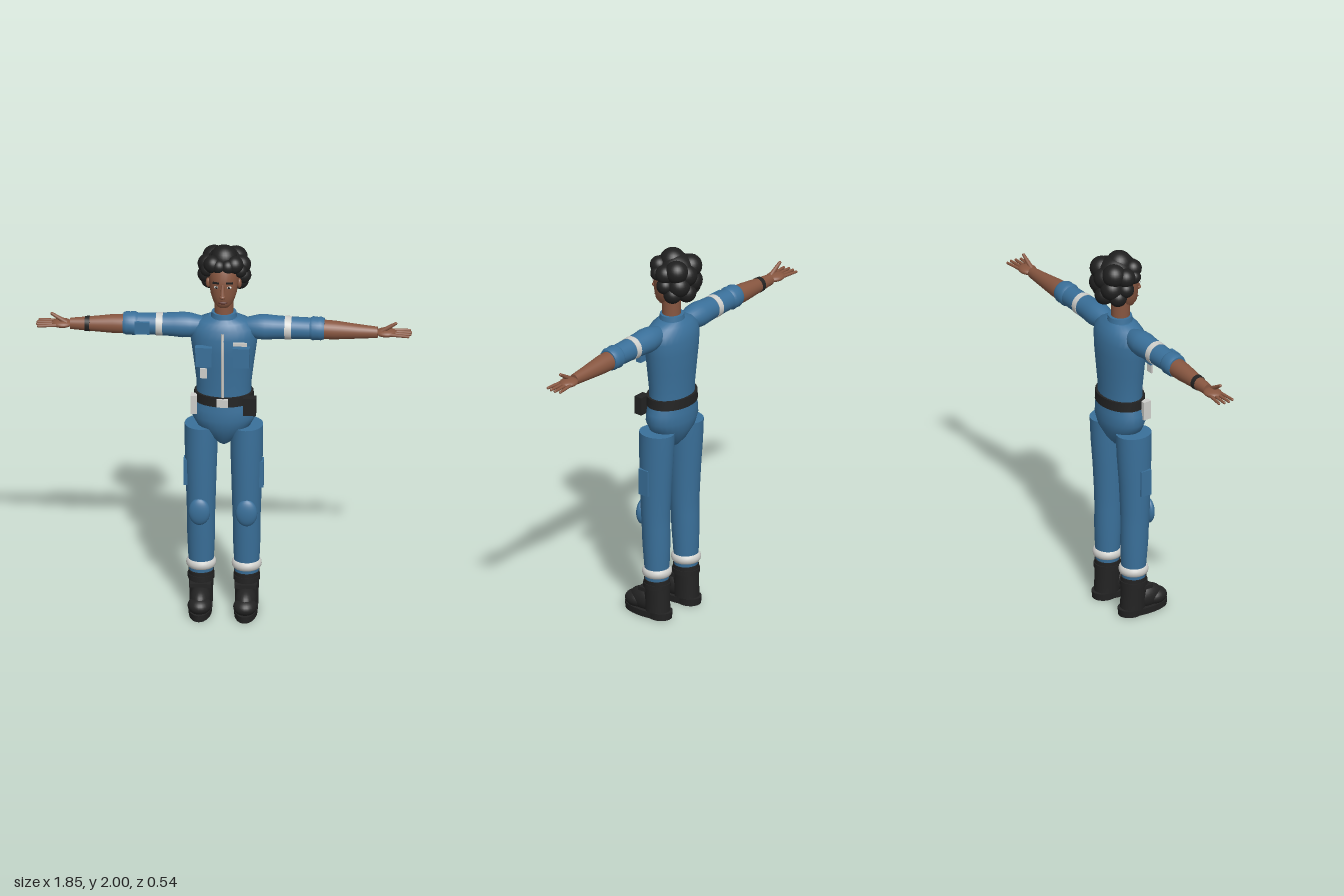
import * as THREE from 'three';

const mat = (name, color) => {
  const m = new THREE.MeshStandardMaterial({ color });
  m.name = name;
  return m;
};

// Closed tube from sections [y, rx, rz, cx, cz] in rising y; repeat a section for a crisp edge
function loft(sections, n = 28) {
  const pos = [], index = [];
  sections.forEach(([y, rx, rz = rx, cx = 0, cz = 0], i) => {
    for (let j = 0; j < n; j++) {
      const t = (j / n) * Math.PI * 2;
      pos.push(cx + rx * Math.cos(t), y, cz + rz * Math.sin(t));
      if (i === sections.length - 1) continue;
      const k = (j + 1) % n, a = i * n + j, b = a + n, c = i * n + k, d = c + n;
      index.push(a, b, c, c, b, d);
    }
  });
  const g = new THREE.BufferGeometry();
  g.setAttribute('position', new THREE.Float32BufferAttribute(pos, 3));
  g.setIndex(index);
  g.computeVertexNormals();
  return g;
}

// Adds flat end caps with crisp edges
function capped(s) {
  const a = s[0], b = s[s.length - 1];
  const tip = ([y, , , cx, cz]) => [y, 0.0005, 0.0005, cx, cz];
  return loft([tip(a), a, ...s, b, tip(b)]);
}

export function createModel() {
  const blue = mat('overall blue', 0x3a709a);
  const skin = mat('skin brown', 0x875640);
  const hair = mat('hair black', 0x1f1f1f);
  const black = mat('leather black', 0x232323);
  const white = mat('trim white', 0xcfcfcb);
  const lip = mat('lip brown', 0x5a3028);

  const model = new THREE.Group();
  const body = new THREE.Group();
  body.name = 'body';
  body.rotation.y = -0.24;
  model.add(body);

  const add = (name, geo, material, x = 0, y = 0, z = 0, parent = body) => {
    const m = new THREE.Mesh(geo, material);
    m.name = name;
    m.position.set(x, y, z);
    parent.add(m);
    return m;
  };
  const box = (name, m, w, h, d, x, y, z, p) => add(name, new THREE.BoxGeometry(w, h, d), m, x, y, z, p);
  const ball = (name, m, rx, ry, rz, x, y, z, p) =>
    add(name, new THREE.SphereGeometry(1, 24, 16).scale(rx, ry, rz), m, x, y, z, p);
  const rod = (name, m, from, to, r0, r1, p) => {
    const a = new THREE.Vector3(...from), b = new THREE.Vector3(...to), d = b.clone().sub(a);
    const o = add(name, new THREE.CylinderGeometry(r1, r0, d.length(), 12), m, 0, 0, 0, p);
    o.position.copy(a).add(b).multiplyScalar(0.5);
    o.quaternion.setFromUnitVectors(new THREE.Vector3(0, 1, 0), d.normalize());
    return o;
  };

  // Torso, pelvis and collar
  add('torso', capped([[1.17, 0.138, 0.1], [1.25, 0.138, 0.1], [1.35, 0.15, 0.107], [1.45, 0.163, 0.113],
    [1.52, 0.172, 0.112], [1.565, 0.165, 0.1], [1.595, 0.13, 0.083], [1.615, 0.075, 0.065]]), blue);
  add('pelvis', loft([[0.9, 0.001], [0.92, 0.03, 0.035], [0.96, 0.075, 0.07], [1.02, 0.135, 0.1],
    [1.07, 0.162, 0.108], [1.12, 0.158, 0.107], [1.18, 0.138, 0.1]]), blue);
  add('collar', capped([[1.59, 0.07, 0.068], [1.64, 0.062, 0.06]]), blue);
  add('neck', capped([[1.6, 0.047], [1.74, 0.048]]), skin, 0, 0, 0.003);

  // Front fastening, chest pockets and tags
  const zip = add('zipper', new THREE.TubeGeometry(new THREE.CatmullRomCurve3([
    [1.2, 0.101], [1.35, 0.109], [1.47, 0.115], [1.56, 0.104],
  ].map(([y, z]) => new THREE.Vector3(0, y, z))), 16, 0.007, 8), white);
  zip.scale.z = 1;
  for (const s of [-1, 1]) {
    box('chestPocket', blue, 0.08, 0.1, 0.03, s * 0.095, 1.43, 0.108);
    box('pocketFlap', blue, 0.086, 0.028, 0.036, s * 0.095, 1.474, 0.109);
  }
  box('nameTape', white, 0.07, 0.018, 0.01, 0.088, 1.505, 0.108);
  box('badge', white, 0.036, 0.052, 0.009, -0.095, 1.345, 0.118);

  // Belt with buckle, pouch and radio
  add('belt', capped([[1.155, 0.152, 0.114], [1.205, 0.15, 0.112]]), black);
  box('buckle', white, 0.058, 0.042, 0.014, 0, 1.18, 0.117);
  box('pouch', black, 0.065, 0.095, 0.045, 0.135, 1.157, 0.085);
  box('radio', white, 0.032, 0.1, 0.045, -0.148, 1.148, 0.055);

  // Arms, built along +x and turned for the right side
  for (const s of [1, -1]) {
    const arm = new THREE.Group();
    arm.name = s > 0 ? 'leftArm' : 'rightArm';
    arm.position.y = 1.558;
    if (s < 0) arm.rotation.y = Math.PI;
    body.add(arm);
    const along = (name, sections, m) => {
      add(name, capped(sections), m, 0, 0, 0, arm).rotation.z = -Math.PI / 2;
    };
    along('sleeve', [[0.09, 0.04], [0.13, 0.052], [0.17, 0.062], [0.21, 0.065], [0.25, 0.061],
      [0.32, 0.057], [0.44, 0.054]], blue);
    along('sleeveCuff', [[0.435, 0.054], [0.45, 0.061], [0.475, 0.058], [0.49, 0.06], [0.508, 0.053]], blue);
    along('sleeveBand', [[0.308, 0.06], [0.342, 0.059]], white);
    along('forearm', [[0.48, 0.05, 0.05, 0.004], [0.56, 0.048, 0.046, 0.006], [0.68, 0.037, 0.035, 0.01],
      [0.776, 0.029, 0.026, 0.012]], skin);
    if (s < 0) along('wristband', [[0.678, 0.04, 0.038, 0.01], [0.702, 0.038, 0.036, 0.01]], black);

    // Hand with four fingers and a raised thumb
    ball('palm', skin, 0.054, 0.02, 0.045, 0.818, -0.011, 0, arm);
    for (let i = 0; i < 4; i++) {
      const z = (i - 1.5) * 0.02, end = 0.945 - Math.abs(i - 1.4) * 0.008;
      rod('finger', skin, [0.84, -0.011, z], [end, -0.014, z * 1.35], 0.009, 0.007, arm);
      ball('fingertip', skin, 0.007, 0.007, 0.007, end, -0.014, z * 1.35, arm);
    }
    rod('thumb', skin, [0.795, -0.002, 0.012 * s], [0.868, 0.045, 0.012 * s], 0.013, 0.008, arm);
    ball('thumbTip', skin, 0.008, 0.008, 0.008, 0.868, 0.045, 0.012 * s, arm);
  }
  box('sleevePocket', blue, 0.075, 0.066, 0.03, -0.41, 1.556, 0.046);

  // Legs and boots
  for (const s of [1, -1]) {
    const leg = new THREE.Group();
    leg.name = s > 0 ? 'leftLeg' : 'rightLeg';
    leg.position.x = s * 0.115;
    body.add(leg);
    add('trouserLeg', capped([[0.18, 0.06, 0.058, 0, 0.003], [0.26, 0.064, 0.062, 0, 0.003],
      [0.4, 0.07, 0.071, 0, 0.007], [0.5, 0.07, 0.073, 0, 0.01], [0.58, 0.073, 0.076, 0, 0.012],
      [0.75, 0.078, 0.083, 0, 0.01], [0.9, 0.083, 0.091, 0, 0.006], [1.02, 0.083, 0.094, 0, 0.003]]), blue, 0, 0, 0, leg);
    ball('kneePad', blue, 0.055, 0.073, 0.028, s * 0.004, 0.56, 0.083, leg);
    box('cargoPocket', blue, 0.04, 0.14, 0.06, s * 0.067, 0.76, 0.022, leg);
    const band = add('ankleBand', new THREE.TorusGeometry(0.058, 0.018, 12, 32), white, 0, 0.25, 0.003, leg);
    band.rotation.x = Math.PI / 2;
    band.scale.z = 1.35;

    add('bootShaft', capped([[0.035, 0.06, 0.066, 0, -0.002], [0.1, 0.06, 0.066, 0, 0], [0.165, 0.063, 0.067, 0, 0.003],
      [0.21, 0.065, 0.066, 0, 0.004]]), black, 0, 0, 0, leg);
    add('bootCuff', capped([[0.165, 0.068, 0.071], [0.19, 0.068, 0.071]]), black, 0, 0, 0.003, leg);
    box('bootStrap', black, 0.11, 0.02, 0.05, 0, 0.148, 0.058, leg);
    ball('bootInstep', black, 0.054, 0.065, 0.095, 0, 0.075, 0.075, leg);
    ball('bootToe', black, 0.06, 0.045, 0.07, 0, 0.062, 0.127, leg);
    add('bootSole', capped([[0, 0.058, 0.138], [0.035, 0.061, 0.141]]), black, 0, 0, 0.063, leg);
    add('bootHeel', capped([[0, 0.056, 0.062], [0.038, 0.058, 0.066]]), black, 0, 0, -0.018, leg);
  }

  // Head and face
  const head = new THREE.Group();
  head.name = 'head';
  body.add(head);
  add('face', loft([[1.685, 0.001, 0.001, 0, 0.045], [1.69, 0.03, 0.032, 0, 0.044], [1.715, 0.052, 0.058, 0, 0.034],
    [1.76, 0.067, 0.076, 0, 0.022], [1.82, 0.076, 0.086, 0, 0.015], [1.88, 0.077, 0.085, 0, 0.01],
    [1.93, 0.06, 0.065], [1.955, 0.001]]), skin, 0, 0, 0, head);
  ball('noseTip', skin, 0.015, 0.012, 0.016, 0, 1.766, 0.11, head);
  rod('noseBridge', skin, [0, 1.768, 0.112], [0, 1.83, 0.096], 0.012, 0.007, head);
  ball('mouth', lip, 0.024, 0.007, 0.008, 0, 1.727, 0.094, head);
  for (const s of [-1, 1]) {
    ball('eye', white, 0.013, 0.007, 0.006, s * 0.032, 1.812, 0.092, head);
    ball('pupil', hair, 0.006, 0.006, 0.004, s * 0.032, 1.812, 0.097, head);
    const brow = box('eyebrow', hair, 0.034, 0.008, 0.009, s * 0.034, 1.836, 0.093, head);
    brow.rotation.set(0, s * 0.35, -s * 0.08);
    ball('ear', skin, 0.012, 0.026, 0.017, s * 0.079, 1.805, 0.018, head);
  }

  // Curly hair as overlapping clumps: x, y, z, radius, mirrored when x is not zero
  ball('hairCap', hair, 0.095, 0.095, 0.095, 0, 1.885, -0.03, head);
  const clumps = [
    [0, 1.932, -0.005, 0.068], [0.022, 1.91, 0.055, 0.038], [0.055, 1.915, 0.04, 0.046],
    [0.082, 1.88, 0.028, 0.036], [0.085, 1.89, -0.025, 0.05], [0.093, 1.83, -0.03, 0.043],
    [0.075, 1.785, -0.065, 0.046], [0.055, 1.905, -0.075, 0.06], [0.05, 1.83, -0.085, 0.058],
    [0, 1.875, -0.09, 0.06], [0, 1.78, -0.095, 0.05],
  ];
  for (const [x, y, z, r] of clumps)
    for (const s of x ? [-1, 1] : [1]) ball('hairClump', hair, r, r, r, s * x, y, z, head);

  return model;
}
